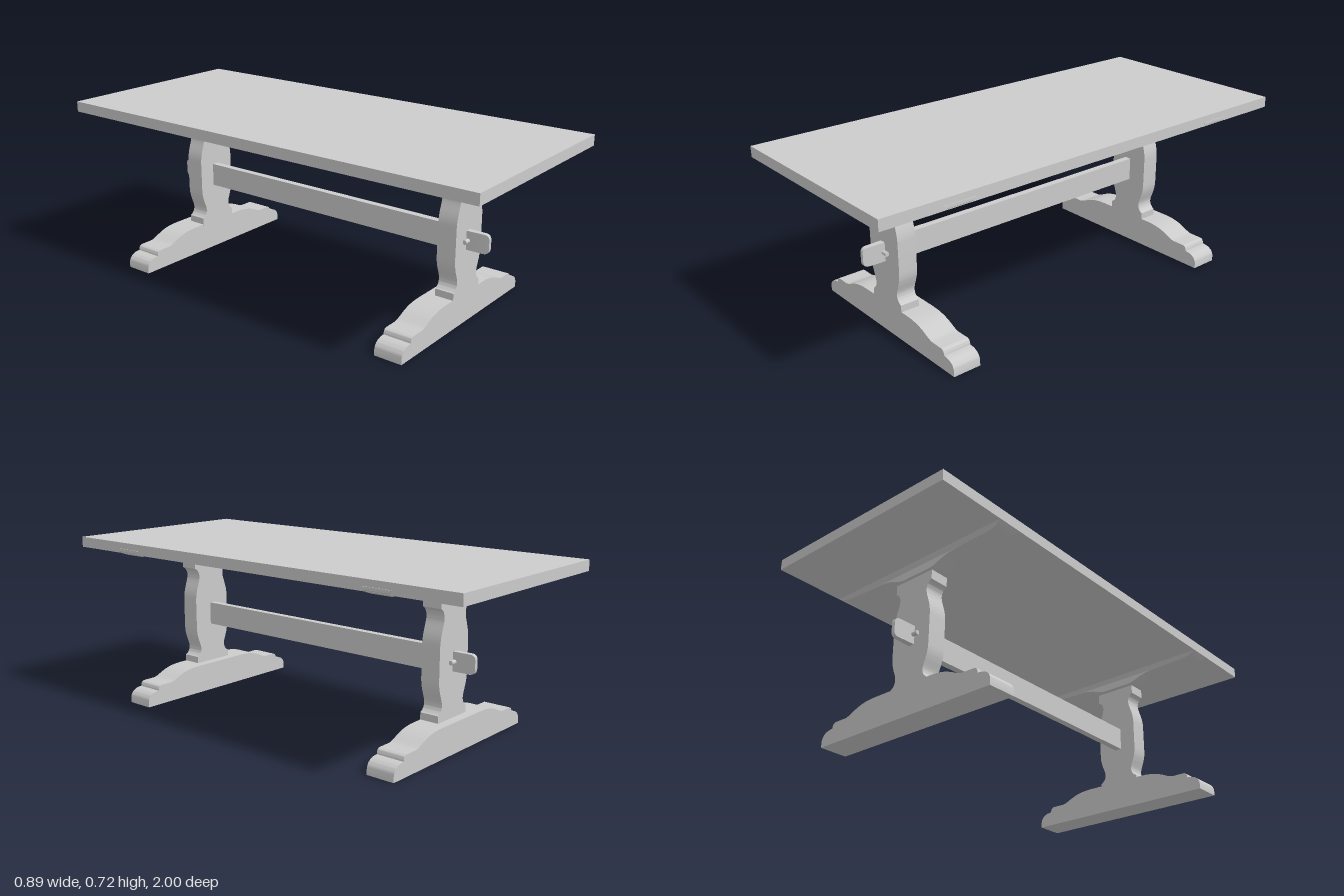
import * as THREE from 'three';
import { toCreasedNormals } from 'three/addons/utils/BufferGeometryUtils.js';

const material = new THREE.MeshStandardMaterial({ color: 0xcccccc });

function part(name, geometry, x = 0, y = 0, z = 0) {
  const mesh = new THREE.Mesh(geometry, material);
  mesh.name = name;
  mesh.position.set(x, y, z);
  return mesh;
}

// Half outline (x, y), bottom to top, mirrored across x = 0 and extruded about z = 0
function mirroredBoard(half, depth) {
  const left = half.map(p => new THREE.Vector2(-p.x, p.y)).reverse();
  const shape = new THREE.Shape([...half, ...left].filter((p, i, a) => !i || p.distanceTo(a[i - 1]) > 1e-5));
  const g = new THREE.ExtrudeGeometry(shape, { depth, bevelEnabled: false });
  g.translate(0, 0, -depth / 2);
  return toCreasedNormals(g, 0.5);
}

const vec = (x, y) => new THREE.Vector2(x, y);

// Post: square shoulders, scooped necks, straight belly
function postGeometry() {
  const path = new THREE.Path();
  path.moveTo(0.096, 0.12);
  path.lineTo(0.096, 0.155);
  path.bezierCurveTo(0.083, 0.16, 0.072, 0.175, 0.072, 0.19);
  path.bezierCurveTo(0.072, 0.217, 0.096, 0.24, 0.096, 0.295);
  path.lineTo(0.096, 0.415);
  path.bezierCurveTo(0.096, 0.47, 0.072, 0.5, 0.072, 0.53);
  path.bezierCurveTo(0.072, 0.547, 0.083, 0.562, 0.096, 0.567);
  path.lineTo(0.096, 0.607);
  return mirroredBoard(path.getPoints(12), 0.081);
}

// Foot: rounded toe, small step, ogee rise to a flat centre
function footGeometry() {
  const path = new THREE.Path();
  path.moveTo(0.435, 0);
  path.lineTo(0.435, 0.022);
  path.bezierCurveTo(0.433, 0.048, 0.412, 0.063, 0.377, 0.063);
  path.bezierCurveTo(0.375, 0.078, 0.371, 0.086, 0.357, 0.086);
  path.lineTo(0.305, 0.086);
  path.bezierCurveTo(0.268, 0.088, 0.245, 0.126, 0.14, 0.126);
  return mirroredBoard(path.getPoints(10), 0.12);
}

// Batten: cross-sections clipped by the curved underside, flaring toward the top
function battenGeometry() {
  const half = [[0, 0.622], [0.07, 0.622], [0.09, 0.625], [0.11, 0.632], [0.14, 0.643], [0.17, 0.65],
    [0.2, 0.653], [0.27, 0.655], [0.38, 0.657], [0.41, 0.66], [0.435, 0.668], [0.446, 0.678], [0.446, 0.69]];
  const stations = [...half.slice(1).reverse().map(([x, y]) => [-x, y]), ...half];
  const levels = [0.622, 0.655, 0.66, 0.666, 0.672, 0.68, 0.69];
  const halfWidth = y => 0.0375 + 0.03 * Math.max(0, (y - 0.655) / 0.035);
  const positions = [], index = [];
  for (const [x, bottom] of stations) {
    const ys = levels.map(l => Math.max(l, bottom));
    for (const y of ys) positions.push(x, y, halfWidth(y));
    for (const y of ys.reverse()) positions.push(x, y, -halfWidth(y));
  }
  const n = levels.length * 2;
  for (let i = 0; i < stations.length - 1; i++) {
    for (let j = 0; j < n; j++) {
      const k = (j + 1) % n;
      const a = i * n + j, b = a + n, c = (i + 1) * n + k, d = i * n + k;
      index.push(a, b, c, a, c, d);
    }
  }
  const g = new THREE.BufferGeometry();
  g.setAttribute('position', new THREE.Float32BufferAttribute(positions, 3));
  g.setIndex(index);
  return toCreasedNormals(g, 0.5);
}

// Tenon: rounded tongue pointing to +z, thinning toward its tip
function tenonGeometry() {
  const length = 0.1, h = 0.039, r = 0.022;
  const s = new THREE.Shape();
  s.moveTo(0, -h);
  s.lineTo(length - r, -h);
  s.quadraticCurveTo(length, -h, length, -h + r);
  s.lineTo(length, h - r);
  s.quadraticCurveTo(length, h, length - r, h);
  s.lineTo(0, h);
  const g = new THREE.ExtrudeGeometry(s, { depth: 0.026, bevelEnabled: false, curveSegments: 6 });
  g.translate(0, 0, -0.013);
  g.rotateY(-Math.PI / 2);
  const p = g.attributes.position;
  for (let i = 0; i < p.count; i++) {
    const t = Math.max(0, p.getZ(i) / length - 0.6) / 0.4;
    p.setX(i, p.getX(i) * (1 - 0.4 * t));
  }
  return toCreasedNormals(g, 0.5);
}

export function createModel() {
  const table = new THREE.Group();
  table.name = 'trestleTable';

  table.add(part('tableTop', new THREE.BoxGeometry(0.89, 0.045, 2), -0.002, 0.6945, 0));

  // Two matching trestles
  const post = postGeometry(), foot = footGeometry(), batten = battenGeometry();
  [['front', 0.677], ['back', -0.652]].forEach(([end, z]) => {
    const trestle = new THREE.Group();
    trestle.name = end + 'Trestle';
    trestle.position.z = z;
    trestle.add(
      part('post', post, 0.006, 0, 0),
      part('foot', foot, -0.003, 0, -0.0205),
      part('batten', batten)
    );
    table.add(trestle);
  });

  // Stretcher with a pegged tenon at each end
  table.add(part('stretcher', new THREE.BoxGeometry(0.03, 0.1, 1.26), 0, 0.35, 0.0125));
  const tenon = tenonGeometry();
  const peg = new THREE.CylinderGeometry(0.009, 0.009, 0.076, 16).rotateZ(Math.PI / 2);
  [1, -1].forEach(side => {
    const joint = new THREE.Group();
    joint.name = side > 0 ? 'frontJoint' : 'backJoint';
    joint.position.set(0, 0.351, 0.0125 + side * 0.7);
    if (side < 0) joint.rotation.y = Math.PI;
    joint.add(part('tenon', tenon), part('peg', peg, 0, 0, 0.012));
    table.add(joint);
  });

  return table;
}
